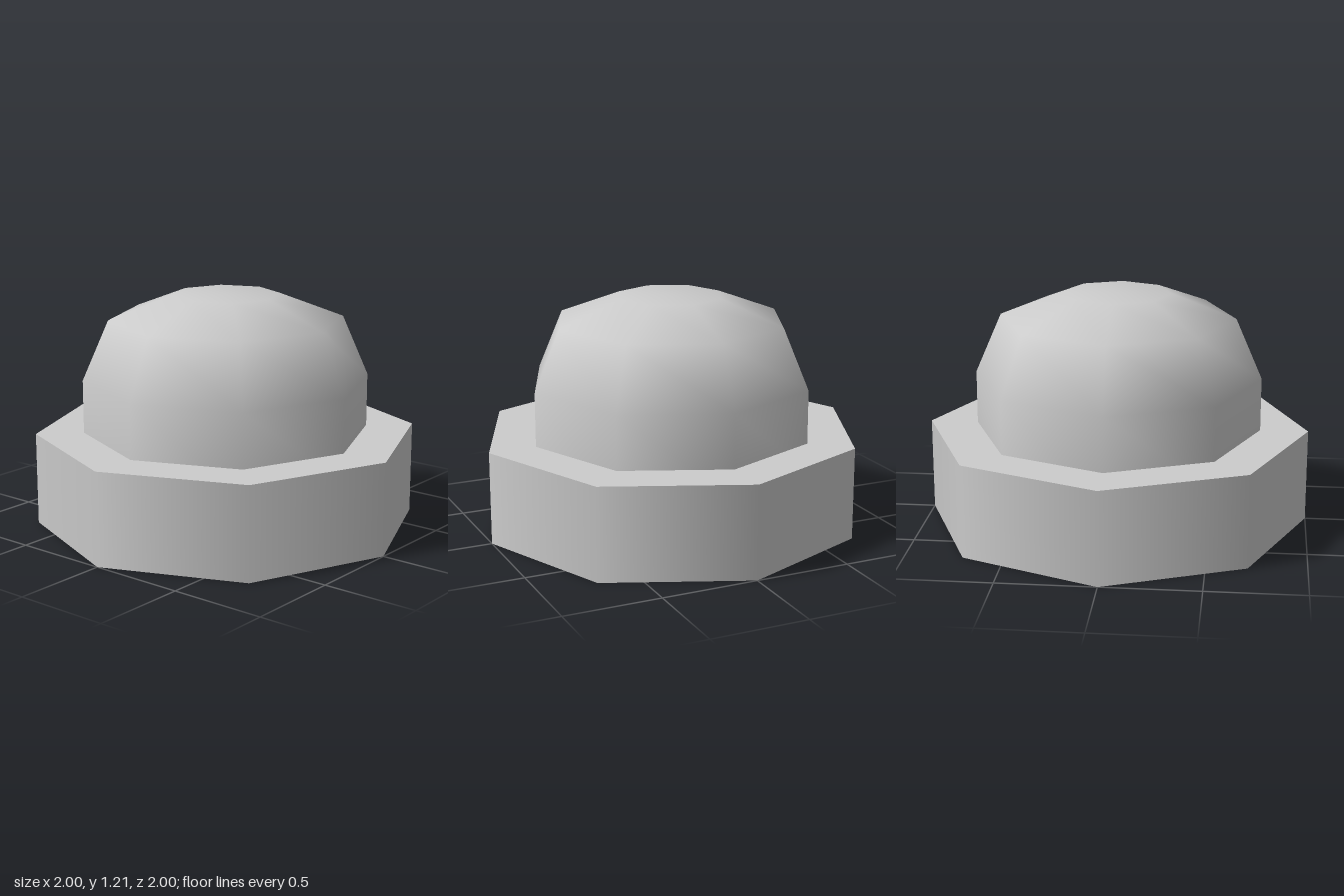
import * as THREE from 'three';

const SIDES = 8;

export function createModel() {
  const group = new THREE.Group();
  const material = new THREE.MeshStandardMaterial({ color: 0xcccccc, side: THREE.DoubleSide });

  const add = (name, geometry) => {
    const mesh = new THREE.Mesh(geometry, material);
    mesh.name = name;
    group.add(mesh);
    return mesh;
  };
  const lathe = (points) =>
    new THREE.LatheGeometry(points.map(([r, y]) => new THREE.Vector2(r, y)), SIDES);

  // Thin octagonal skirt, open underneath
  const baseHeight = 0.485;
  add('baseWall', lathe([[1, 0], [1, baseHeight]]));

  // Flat plate closing the top of the skirt
  const plate = add('basePlate', new THREE.CircleGeometry(1, SIDES).rotateX(-Math.PI / 2));
  plate.position.y = baseHeight;

  // Rounded cap: its open lower rim passes through the plate
  add('dome', lathe([[0.75, 0.34], [0.75, 0.765], [0.613, 1.08], [0.28, 1.207], [0, 1.207]]));

  return group;
}
